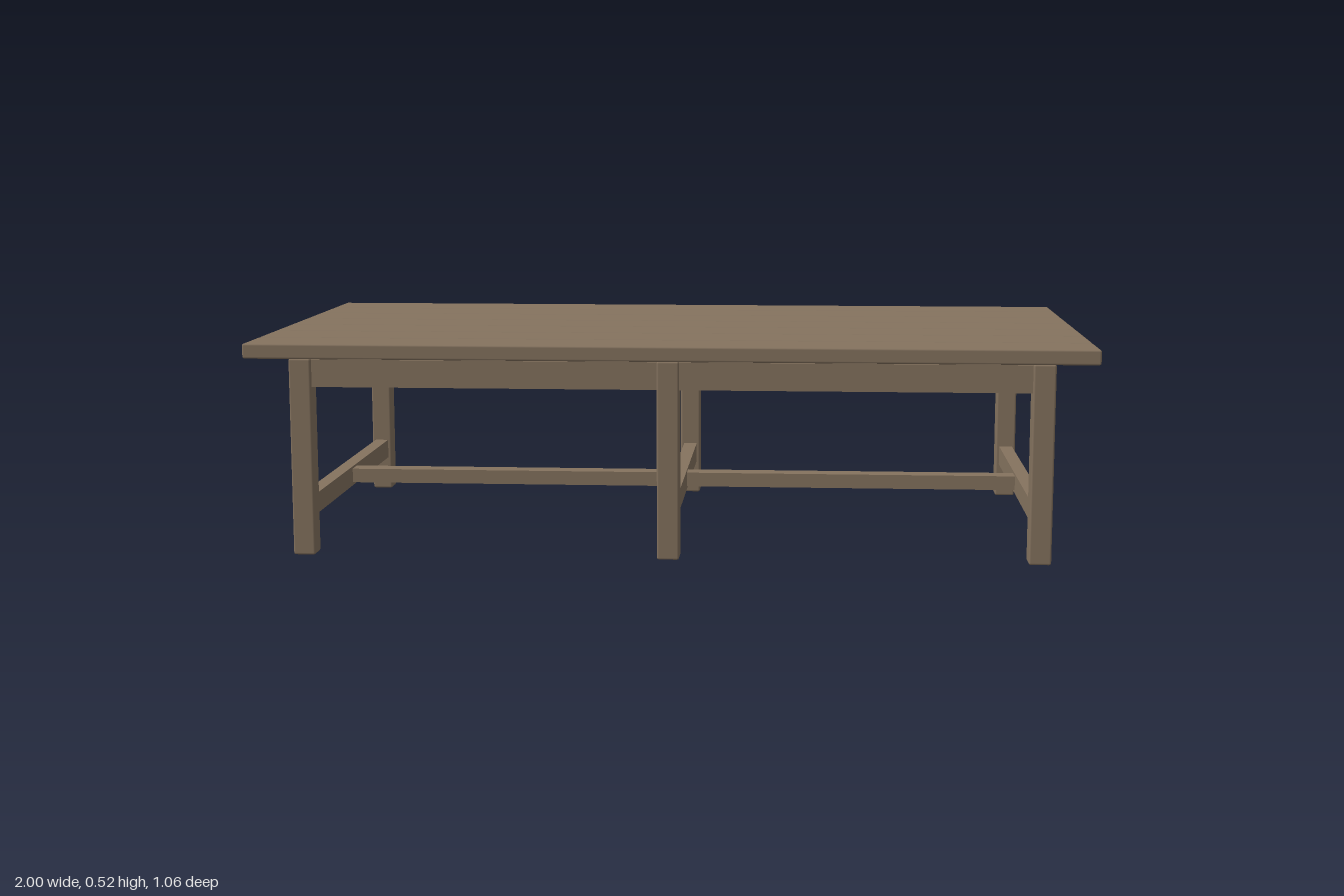
import * as THREE from 'three';
import { RoundedBoxGeometry } from 'three/addons/geometries/RoundedBoxGeometry.js';

export function createModel() {
  const table = new THREE.Group();
  table.name = 'slattedTable';
  const wood = new THREE.MeshStandardMaterial({ color: 0x85735f });
  wood.name = 'weathered wood';

  const add = (name, geometry, x, y, z) => {
    const mesh = new THREE.Mesh(geometry, wood);
    mesh.name = name;
    mesh.position.set(x, y, z);
    table.add(mesh);
  };

  // Seven slats with narrow gaps make the top
  const slat = new RoundedBoxGeometry(2, 0.036, 0.143, 1, 0.005);
  for (let i = -3; i <= 3; i++) {
    add('slat', slat, 0, 0.501, i * 0.1525);
  }

  // Three pairs of legs, each joined by a low crossbar
  const leg = new RoundedBoxGeometry(0.053, 0.477, 0.056, 1, 0.005);
  const crossbar = new THREE.BoxGeometry(0.035, 0.05, 0.84);
  for (const x of [-0.88, 0, 0.88]) {
    for (const z of [-0.44, 0.44]) add('leg', leg, x, 0.2385, z);
    add('crossbar', crossbar, x, 0.114, 0);
  }

  // Rails under the top, one per bay between legs
  const rail = new THREE.BoxGeometry(0.835, 0.066, 0.035);
  for (const x of [-0.44, 0.44]) {
    for (const z of [-0.44, 0.44]) add('rail', rail, x, 0.441, z);
  }

  // Long stretcher tying the crossbars together
  add('stretcher', new THREE.BoxGeometry(1.74, 0.036, 0.05), 0, 0.115, 0);

  return table;
}
